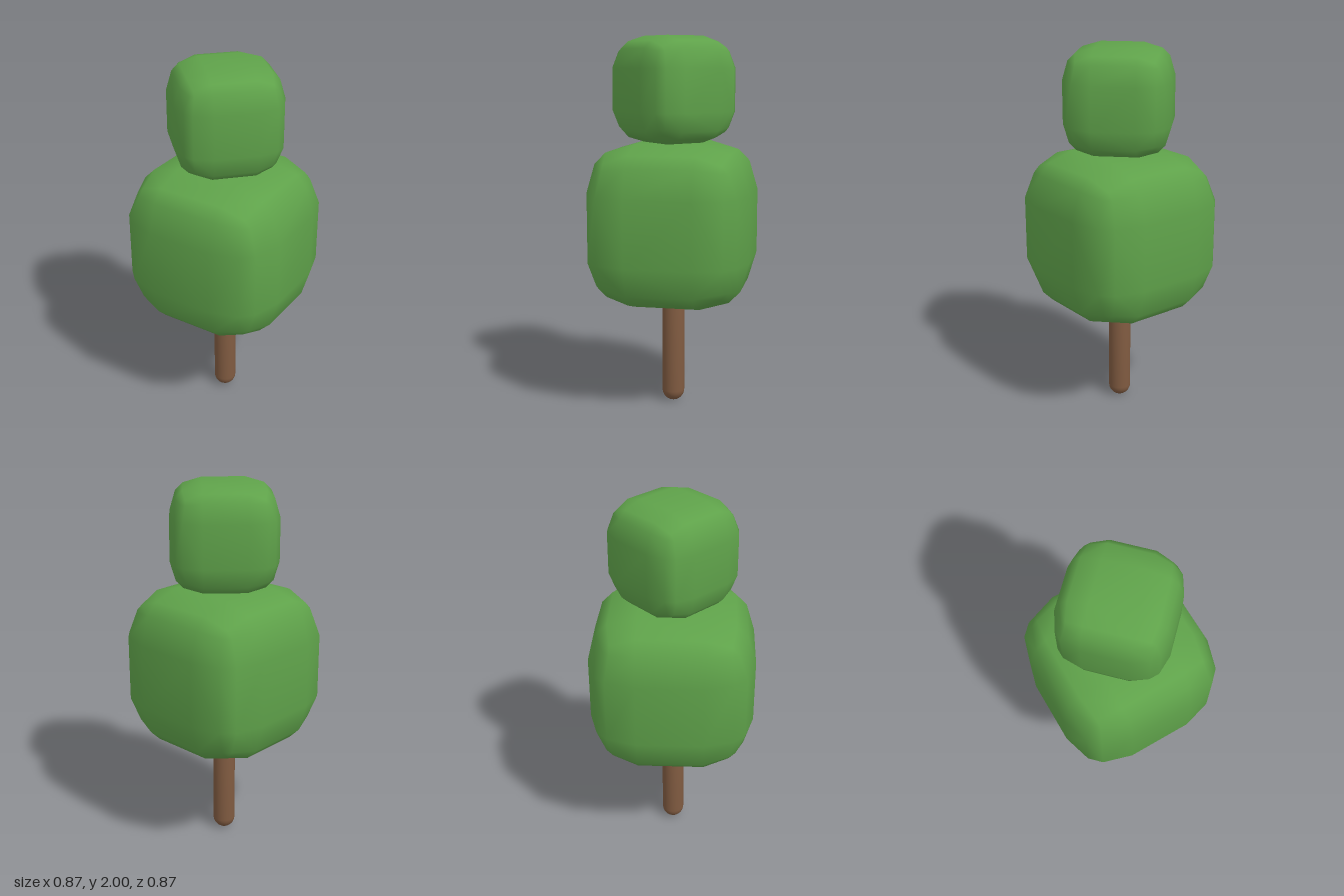
import * as THREE from 'three';
import { ConvexGeometry } from 'three/addons/geometries/ConvexGeometry.js';
import { mergeVertices } from 'three/addons/utils/BufferGeometryUtils.js';

// Softly rounded cube: one octant's corner points, cycled over the axes and mirrored
function softCube(scale) {
  const octant = [
    [0.175, 0.175, 0.436], // flat middle of each face
    [0.33, 0.175, 0.39],   // rim along the edges
    [0.175, 0.33, 0.39],
    [0.308, 0.308, 0.343], // rounded corner
  ];
  const points = [];
  for (const p of octant) {
    for (let axis = 0; axis < 3; axis++) {
      for (let s = 0; s < 8; s++) {
        points.push(new THREE.Vector3(
          p[axis] * (s & 1 ? -1 : 1),
          p[(axis + 1) % 3] * (s & 2 ? -1 : 1),
          p[(axis + 2) % 3] * (s & 4 ? -1 : 1),
        ).multiplyScalar(scale));
      }
    }
  }
  // Weld the hull so that it shades smoothly
  const hull = new ConvexGeometry(points);
  hull.deleteAttribute('normal');
  const geometry = mergeVertices(hull, 1e-4);
  geometry.computeVertexNormals();
  return geometry;
}

export function createModel() {
  const model = new THREE.Group();
  model.name = 'tree';

  const leafGreen = new THREE.MeshStandardMaterial({ color: 0x5fa24a });
  leafGreen.name = 'leaf green';
  const barkBrown = new THREE.MeshStandardMaterial({ color: 0x7f5a40 });
  barkBrown.name = 'bark brown';

  const add = (name, geometry, material, y) => {
    const mesh = new THREE.Mesh(geometry, material);
    mesh.name = name;
    mesh.position.y = y;
    model.add(mesh);
    return mesh;
  };

  // Trunk with a rounded foot, running up into the foliage
  const r = 0.061;
  const profile = [];
  for (let i = 0; i <= 6; i++) {
    const a = (i / 6) * Math.PI / 2;
    profile.push(new THREE.Vector2(r * Math.sin(a), r * (1 - Math.cos(a))));
  }
  profile.push(new THREE.Vector2(r, 0.7), new THREE.Vector2(0, 0.7));
  add('trunk', new THREE.LatheGeometry(profile, 24), barkBrown, 0);

  // Large foliage block, and a smaller one turned by an eighth
  add('lowerFoliage', softCube(1), leafGreen, 1.004);
  add('upperFoliage', softCube(0.642), leafGreen, 1.72).rotation.y = Math.PI / 4;

  return model;
}
